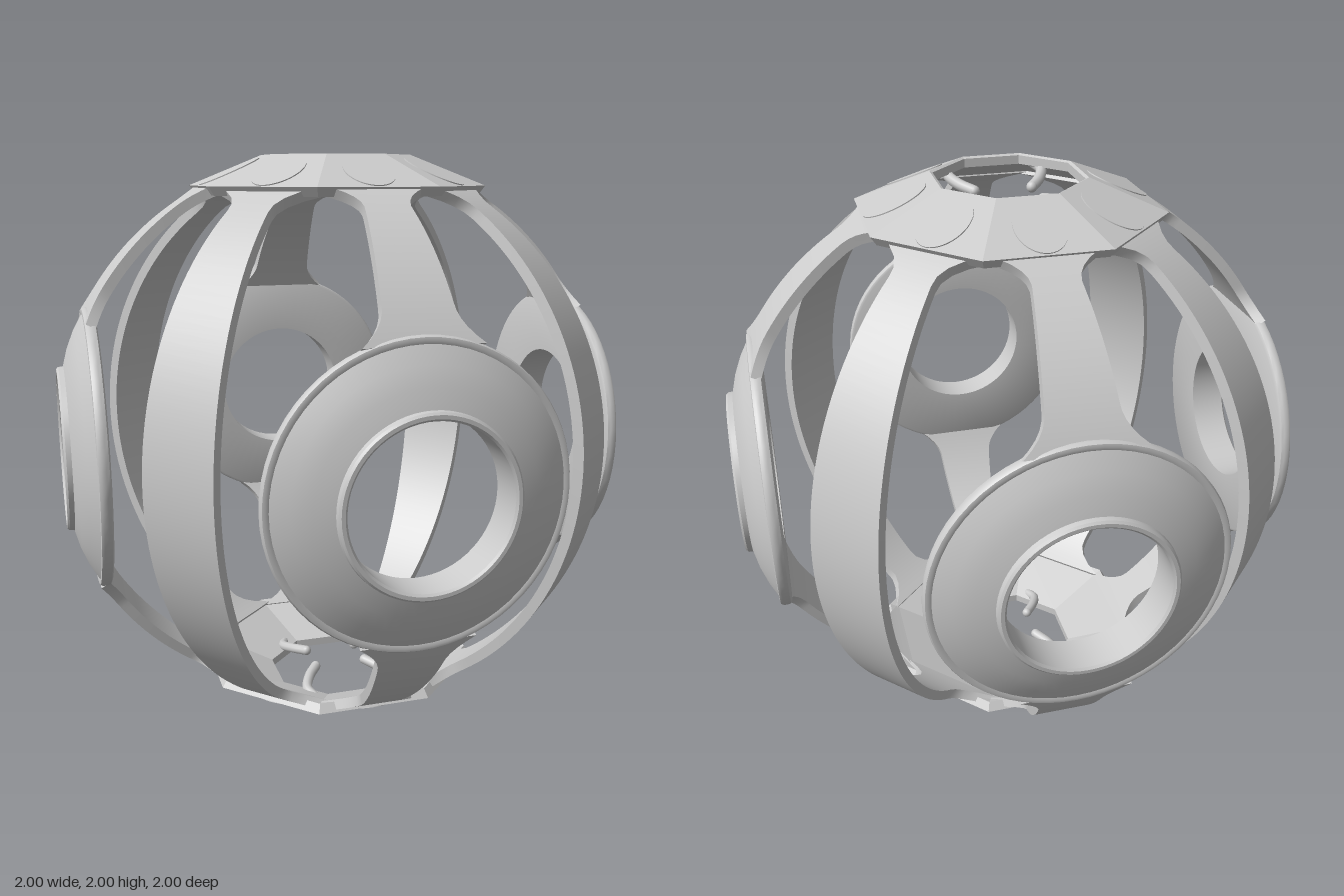
import * as THREE from 'three';
import { toCreasedNormals } from 'three/addons/utils/BufferGeometryUtils.js';

const grey = new THREE.MeshStandardMaterial({ color: 0xcccccc });
const deg = Math.PI / 180;

function part(name, geometry, parent) {
  const mesh = new THREE.Mesh(geometry, grey);
  mesh.name = name;
  parent.add(mesh);
  return mesh;
}

const closedLathe = (points, segments, start = 0) =>
  new THREE.LatheGeometry([...points, points[0]].map(([x, y]) => new THREE.Vector2(x, y)), segments, start);

// Curved bar along a meridian facing +z: a flat rectangular section swept over polar angles a0..a1
function meridianBar(a0, a1, steps, radiusAt, extraWidthAt, thickness) {
  const rings = [];
  for (let i = 0; i <= steps; i++) {
    const a = a0 + (a1 - a0) * i / steps;
    const R = radiusAt(a), r = R - thickness;
    const w = 0.133 * R * Math.sin(a) + extraWidthAt(a);
    const c = Math.cos(a), s = Math.sin(a);
    rings.push([[-w, R * c, R * s], [w, R * c, R * s], [w, r * c, r * s], [-w, r * c, r * s]]);
  }
  const pos = [];
  const quad = (a, b, c, d) => pos.push(...a, ...b, ...c, ...a, ...c, ...d);
  for (let i = 0; i < steps; i++) {
    for (let k = 0; k < 4; k++) {
      const n = (k + 1) % 4;
      quad(rings[i][k], rings[i + 1][k], rings[i + 1][n], rings[i][n]);
    }
  }
  quad(...rings[0]);
  quad(...[...rings[steps]].reverse());
  const g = new THREE.BufferGeometry();
  g.setAttribute('position', new THREE.Float32BufferAttribute(pos, 3));
  return toCreasedNormals(g, 35 * deg);
}

// Fillet-like widening near an end of a bar
const flare = (a, end, size, reach) => size * Math.max(0, 1 - Math.abs(a - end) / reach) ** 2;

export function createModel() {
  const model = new THREE.Group();
  const cage = new THREE.Group();
  cage.name = 'cage';
  cage.position.y = 1;
  model.add(cage);

  const a0 = 26.5 * deg, a1 = 63 * deg;

  // Four full ribs on the diagonals
  const ribGeo = meridianBar(a0, Math.PI - a0, 60,
    a => 0.98 + 0.03 * Math.cos(a) ** 2,
    a => flare(a, a0, 0.14, 8 * deg) + flare(a, Math.PI - a0, 0.14, 8 * deg), 0.035);
  for (let i = 0; i < 4; i++) part('rib', ribGeo, cage).rotation.y = (45 + 90 * i) * deg;

  // Four portholes: rounded rim, sloping face, raised collar round the hole
  const portGeo = toCreasedNormals(closedLathe([
    [0.26, 0.865], [0.478, 0.865], [0.487, 0.87], [0.49, 0.88], [0.49, 0.895], [0.485, 0.904],
    [0.475, 0.906], [0.465, 0.903], [0.41, 0.934], [0.35, 0.959], [0.288, 0.976],
    [0.286, 0.993], [0.279, 1], [0.267, 1], [0.26, 0.993],
  ], 64), 32 * deg).rotateX(Math.PI / 2);
  for (let i = 0; i < 4; i++) part('porthole', portGeo, cage).rotation.y = 90 * i * deg;

  // Shared shapes of the two halves
  const spokeGeo = meridianBar(a0, a1, 24, () => 1.012,
    a => flare(a, a0, 0.14, 8 * deg) + flare(a, a1, 0.07, 7 * deg), 0.035);
  const k = 1 / Math.cos(22.5 * deg);
  const capGeo = toCreasedNormals(closedLathe([
    [0.47 * k, 0.865], [0.49 * k, 0.895], [0.245 * k, 1], [0.235 * k, 0.995], [0.235 * k, 0.965],
  ], 8, 22.5 * deg), 5 * deg);
  const ovalGeo = new THREE.CylinderGeometry(1, 1, 0.012, 40)
    .scale(0.083, 1, 0.114).rotateX(23.2 * deg).translate(0, 0.94, 0.379);
  const hookCurve = new THREE.CatmullRomCurve3([
    new THREE.Vector3(0.15, 0.965, 0.24), new THREE.Vector3(0.165, 0.955, 0.19),
    new THREE.Vector3(0.14, 0.94, 0.125), new THREE.Vector3(0.1, 0.93, 0.07),
  ]);
  const hookGeo = new THREE.TubeGeometry(hookCurve, 20, 0.019, 10);
  const tipGeo = new THREE.SphereGeometry(0.019, 12, 8).translate(0.1, 0.93, 0.07);

  for (const half of ['upper', 'lower']) {
    const group = new THREE.Group();
    group.name = half + 'Half';
    if (half === 'lower') group.rotation.z = Math.PI;
    cage.add(group);

    // Eight-sided end ring with an oval pad on every facet
    part('endRing', capGeo, group);
    for (let i = 0; i < 8; i++) part('ovalPad', ovalGeo, group).rotation.y = 45 * i * deg;

    // Spokes from the end ring to the portholes
    for (let i = 0; i < 4; i++) part('spoke', spokeGeo, group).rotation.y = 90 * i * deg;

    // Curved hooks inside the opening, mirrored to the four corners
    for (const sx of [1, -1]) for (const sz of [1, -1]) {
      const hook = new THREE.Group();
      hook.name = 'hook';
      hook.scale.set(sx, 1, sz);
      part('hookArm', hookGeo, hook);
      part('hookTip', tipGeo, hook);
      group.add(hook);
    }
  }
  return model;
}
